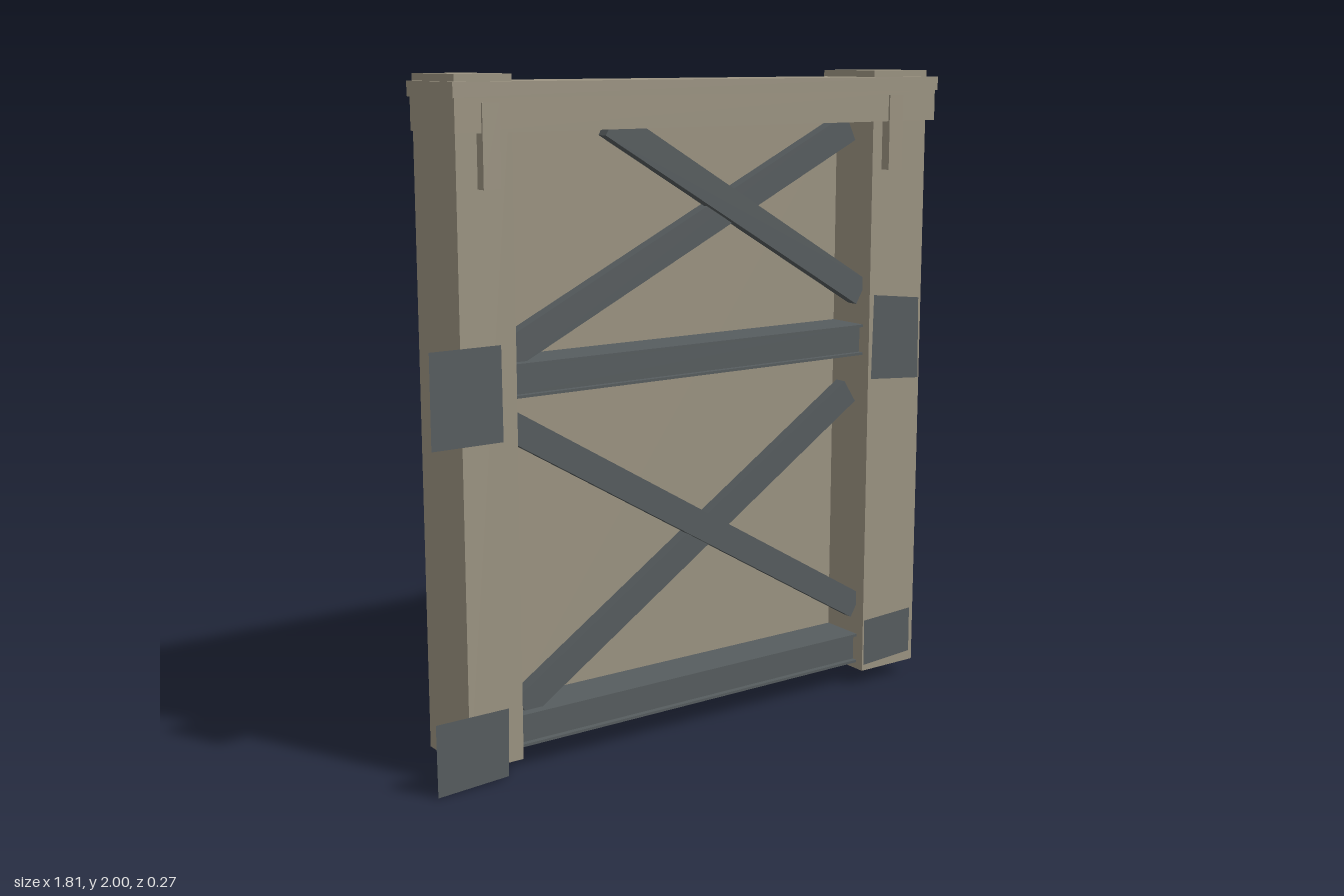
import * as THREE from 'three';

export function createModel() {
  const root = new THREE.Group();
  root.name = 'bracedWallPanel';

  const stone = new THREE.MeshStandardMaterial({ color: 0x9c9482 });
  stone.name = 'tan concrete';
  const steel = new THREE.MeshStandardMaterial({ color: 0x575d5f });
  steel.name = 'grey steel';
  const sheet = new THREE.MeshStandardMaterial({ color: 0x575d5f, side: THREE.DoubleSide });
  sheet.name = 'grey steel sheet';

  // Box given by its limits on each axis
  function box(name, mat, x0, x1, y0, y1, z0, z1) {
    const mesh = new THREE.Mesh(new THREE.BoxGeometry(x1 - x0, y1 - y0, z1 - z0), mat);
    mesh.position.set((x0 + x1) / 2, (y0 + y1) / 2, (z0 + z1) / 2);
    mesh.name = name;
    root.add(mesh);
    return mesh;
  }

  // Posts and the wall between them
  const inL = -0.625, inR = 0.667;
  box('rightPost', stone, -0.8, inL, 0.05, 2, -0.137, 0.104);
  box('leftPost', stone, inR, 0.885, 0.05, 2, -0.137, 0.104);
  box('backWall', stone, inL, inR, 0.05, 1.85, -0.132, -0.07);

  // Stepped lintel across the top
  box('lintel', stone, -0.815, 0.898, 1.845, 1.94, -0.122, 0.131);
  box('lintelCap', stone, -0.822, 0.904, 1.938, 1.98, -0.126, 0.137);

  // Brackets hanging over the lintel front
  for (const x of [-0.708, 0.732]) {
    box('bracket', stone, x - 0.027, x + 0.027, 1.695, 1.925, 0.1, 0.137);
  }

  // Horizontal girders: a web with thin flanges
  for (const y of [0.072, 1.105]) {
    box('girderWeb', steel, inL, inR, y + 0.008, y + 0.09, -0.07, 0.058);
    for (const fy of [y, y + 0.09]) {
      box('girderFlange', steel, inL, inR, fy, fy + 0.008, -0.07, 0.075);
    }
  }

  // Diagonal braces between two points, the falling ones in front
  function brace(name, x0, y0, x1, y1, width, z0, z1) {
    const length = Math.hypot(x1 - x0, y1 - y0);
    const mesh = box(name, steel, 0, length, 0, width, z0, z1);
    mesh.position.set((x0 + x1) / 2, (y0 + y1) / 2, (z0 + z1) / 2);
    mesh.rotation.z = Math.atan2(y1 - y0, x1 - x0);
  }
  brace('lowerFallingBrace', -0.635, 1.035, 0.666, 0.267, 0.083, 0.03, 0.068);
  brace('lowerRisingBrace', -0.588, 0.177, 0.642, 0.985, 0.083, 0.005, 0.045);
  brace('upperFallingBrace', -0.28, 1.862, 0.664, 1.307, 0.085, 0.03, 0.068);
  brace('upperRisingBrace', -0.635, 1.215, 0.626, 1.826, 0.09, 0.005, 0.045);

  // Loose, slightly crooked sheets fixed to the post fronts
  const sheets = [
    [[-0.897, 0.995], [-0.673, 0.995], [-0.675, 1.268], [-0.897, 1.268]],
    [[0.676, 1.03], [0.877, 1.015], [0.872, 1.278], [0.682, 1.3]],
    [[-0.905, 0], [-0.677, 0.011], [-0.673, 0.216], [-0.907, 0.216]],
    [[0.67, 0.071], [0.868, 0.083], [0.867, 0.233], [0.669, 0.224]],
  ];
  for (const corners of sheets) {
    const shape = new THREE.Shape(corners.map(([x, y]) => new THREE.Vector2(x, y)));
    const mesh = new THREE.Mesh(new THREE.ShapeGeometry(shape), sheet);
    mesh.position.z = 0.108;
    mesh.name = 'postSheet';
    root.add(mesh);
  }

  return root;
}
